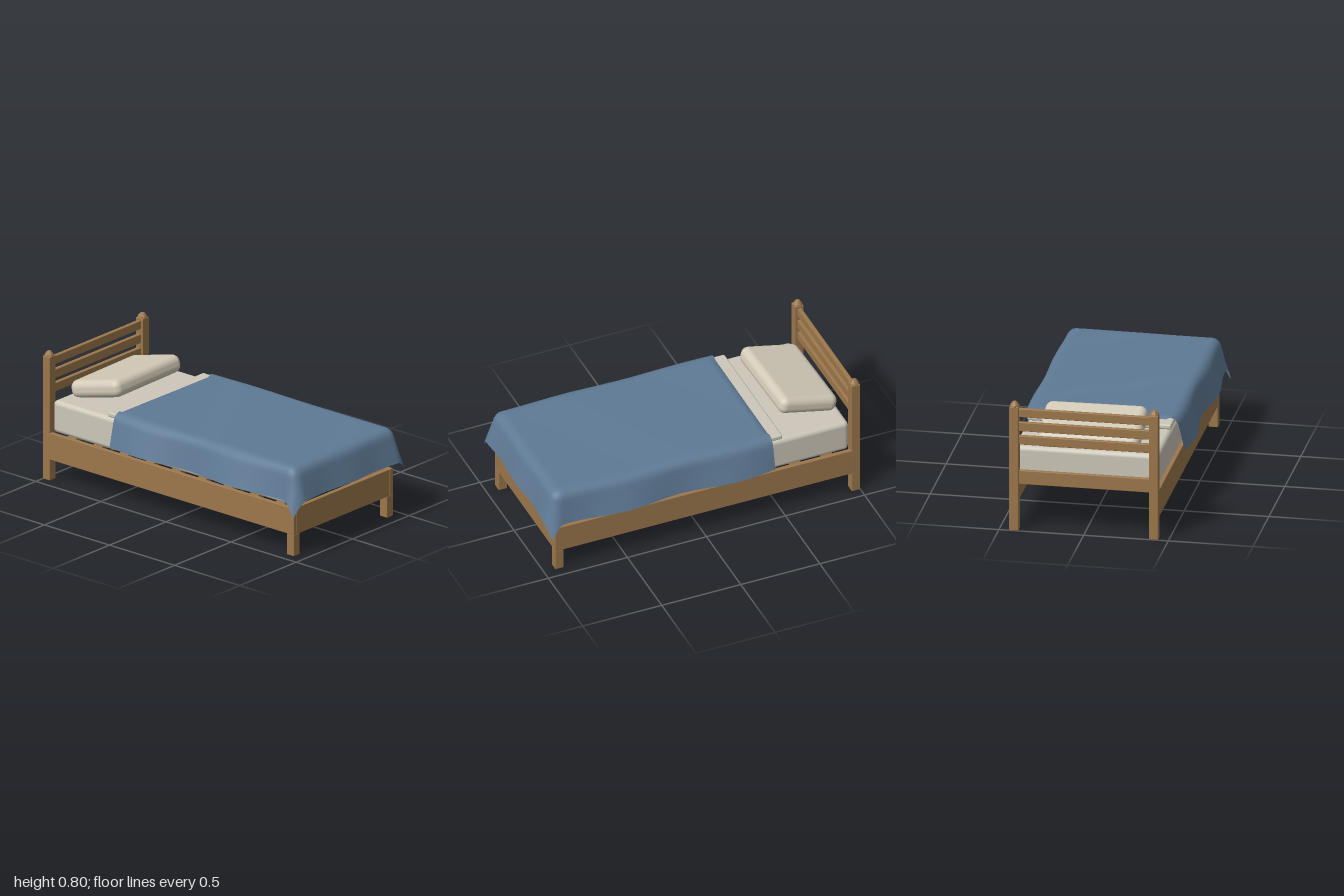
import * as THREE from 'three';
import { RoundedBoxGeometry } from 'three/addons/geometries/RoundedBoxGeometry.js';

const material = (name, color) => {
  const m = new THREE.MeshStandardMaterial({ color });
  m.name = name;
  return m;
};

export function createModel() {
  const bed = new THREE.Group();
  bed.name = 'bed';
  const wood = material('wood', 0x9c774c);
  const linen = material('mattress linen', 0xcdc7b9);
  const cotton = material('pillow cotton', 0xd3cab8);
  const blue = material('blue blanket', 0x5f7a95);
  blue.side = THREE.DoubleSide;

  const add = (name, geometry, mat, x = 0, y = 0, z = 0) => {
    const mesh = new THREE.Mesh(geometry, mat);
    mesh.name = name;
    mesh.position.set(x, y, z);
    bed.add(mesh);
    return mesh;
  };
  // softened box given by its extents on each axis
  const block = (name, mat, [x0, x1], [y0, y1], [z0, z1], radius = 0.004, segments = 1) =>
    add(name, new RoundedBoxGeometry(x1 - x0, y1 - y0, z1 - z0, segments, radius), mat,
      (x0 + x1) / 2, (y0 + y1) / 2, (z0 + z1) / 2);

  // posts with faceted finials, front legs and side rails
  const finialProfile = [[0, 0], [0.02, 0], [0.029, 0.006], [0.027, 0.013], [0.013, 0.032], [0, 0.035]]
    .map(([r, y]) => new THREE.Vector2(r, y));
  const finial = new THREE.LatheGeometry(finialProfile, 8, Math.PI / 8).toNonIndexed();
  finial.computeVertexNormals();
  for (const s of [-1, 1]) {
    const span = (a, b) => (s > 0 ? [a, b] : [-b, -a]);
    block('headPost', wood, span(0.385, 0.44), [0, 0.765], [-1, -0.945]);
    add('postFinial', finial, wood, s * 0.4125, 0.76, -0.9725);
    block('frontLeg', wood, span(0.385, 0.44), [0, 0.132], [0.875, 0.93]);
    block('sideRail', wood, span(0.412, 0.44), [0.13, 0.296], [-0.95, 0.93]);
  }
  block('footRail', wood, [-0.412, 0.412], [0.13, 0.296], [0.9, 0.929]);

  // headboard rails
  for (const [y0, y1] of [[0.7, 0.752], [0.613, 0.668], [0.53, 0.584], [0.285, 0.37]])
    block('headRail', wood, [-0.388, 0.388], [y0, y1], [-0.986, -0.96]);

  // slats below the mattress
  for (let i = 0; i < 9; i++) {
    const z = -0.8 + i * 0.2;
    block('slat', wood, [-0.413, 0.413], [0.275, 0.298], [z - 0.033, z + 0.033], 0.003);
  }

  // bedding
  block('mattress', linen, [-0.428, 0.428], [0.3, 0.5], [-0.935, 0.915], 0.028, 3);
  block('foldedSheet', linen, [-0.425, 0.425], [0.502, 0.532], [-0.515, -0.38], 0.01, 2);
  const pillow = add('pillow', new RoundedBoxGeometry(0.6, 0.108, 0.375, 4, 0.045), cotton, -0.005, 0.577, -0.737);
  pillow.rotation.set(-0.25, 0.025, 0, 'YXZ');

  add('blanket', blanketGeometry(), blue);
  return bed;
}

// flat cloth draped over the two sides and the foot, with hanging corners
function blanketGeometry() {
  const halfTop = 0.4, foot = 0.89, head = -0.44, top = 0.547;
  const hang = 0.236, bend = 0.08, angle = 1.3, radius = bend / angle;
  const width = 2 * (halfTop + hang), length = foot + hang - head;
  const geometry = new THREE.PlaneGeometry(width, length, 60, 72);
  geometry.rotateX(-Math.PI / 2);
  geometry.translate(0, 0, head + length / 2);
  const p = geometry.attributes.position;
  for (let i = 0; i < p.count; i++) {
    const a = p.getX(i), b = p.getZ(i), side = Math.sign(a);
    const da = Math.max(0, Math.abs(a) - halfTop), db = Math.max(0, b - foot);
    const full = Math.hypot(da, db), r = Math.min(full, 0.318);
    // rounded edge, then a straight, slightly flared fall
    const t = Math.min(r / bend, 1) * angle, rest = Math.max(0, r - bend);
    const out = radius * Math.sin(t) + rest * Math.cos(angle);
    const drop = radius * (1 - Math.cos(t)) + rest * Math.sin(angle);
    const k = Math.min(1, r / hang);
    const sideWave = 0.016 * k * Math.cos((b + 0.2) * Math.PI * 2 / 0.7);
    const footWave = 0.006 * k * Math.cos(a * 14);
    const ux = full ? da / full : 0, uz = full ? db / full : 0;
    const x = Math.min(Math.abs(a), halfTop) + ux * (out + sideWave);
    const z = Math.min(b, foot) + uz * (out + footWave);
    const hem = b < head + 0.001 && r === 0 ? 0.012 : 0;
    const ripple = 0.002 * Math.sin(b * 7 + a * 4) * (1 - k);
    p.setXYZ(i, side * x, top - drop - hem + ripple, z);
  }
  geometry.computeVertexNormals();
  return geometry;
}
